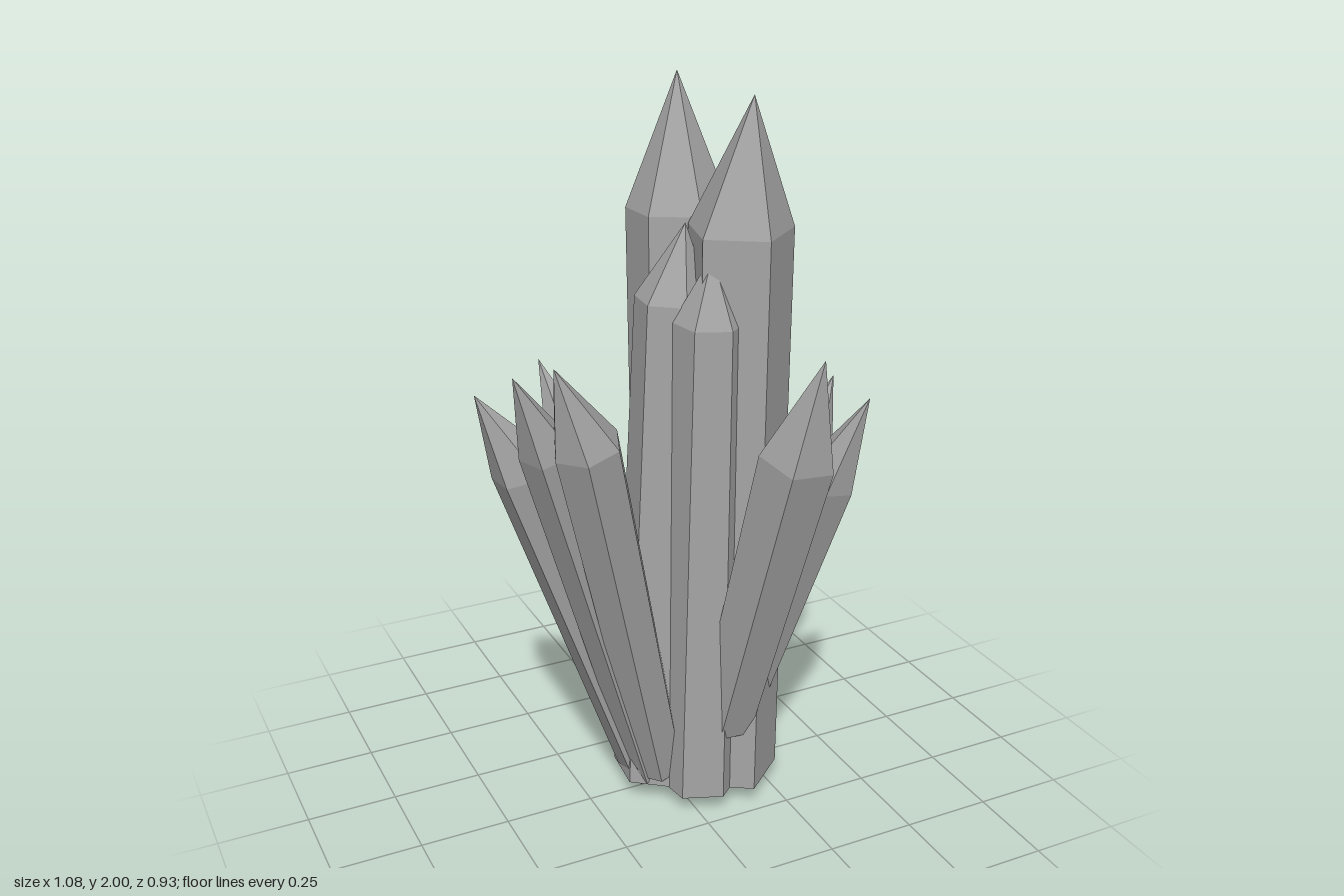
import * as THREE from 'three';

// One crystal: a prism from base to shoulder, closed by a point at each end.
function crystalGeometry({ base, shoulder, tip, r0, r1, sides, phase, root = 0.02 }) {
  const b = new THREE.Vector3(...base);
  const s = new THREE.Vector3(...shoulder);
  const t = new THREE.Vector3(...tip);
  const d = s.clone().sub(b).normalize();
  const u = new THREE.Vector3(1, 0, 0).addScaledVector(d, -d.x).normalize();
  const v = d.clone().cross(u).negate();
  v.copy(d).cross(u);
  const ring = (c, r) => Array.from({ length: sides }, (_, i) => {
    const a = THREE.MathUtils.degToRad(phase) + (i / sides) * Math.PI * 2;
    return c.clone().addScaledVector(u, r * Math.cos(a)).addScaledVector(v, r * Math.sin(a));
  });
  const low = ring(b, r0);
  const high = ring(s, r1);
  const end = b.clone().addScaledVector(d, -root);
  const pos = [];
  const tri = (...p) => p.forEach((q) => pos.push(q.x, q.y, q.z));
  for (let i = 0; i < sides; i++) {
    const j = (i + 1) % sides;
    tri(low[i], low[j], high[j]);
    tri(low[i], high[j], high[i]);
    tri(high[i], high[j], t);
    tri(low[j], low[i], end);
  }
  const g = new THREE.BufferGeometry();
  g.setAttribute('position', new THREE.Float32BufferAttribute(pos, 3));
  g.computeVertexNormals();
  return g;
}

const crystals = {
  // upright core
  frontMainCrystal: { base: [0.145, 0.055, 0.09], shoulder: [0.148, 1.64, 0.1], tip: [0.165, 1.975, 0.13], r0: 0.14, r1: 0.142, sides: 5, phase: -14, root: 0.01 },
  backMainCrystal: { base: [0.09, 0.055, -0.1], shoulder: [0.09, 1.65, -0.137], tip: [0.092, 2, -0.147], r0: 0.135, r1: 0.137, sides: 6, phase: -29, root: 0.01 },
  sideCoreCrystal: { base: [-0.03, 0.06, 0], shoulder: [0, 1.46, 0.02], tip: [0.02, 1.66, 0.05], r0: 0.135, r1: 0.1, sides: 6, phase: 25, root: 0.01 },
  frontCoreCrystal: { base: [0.04, 0.055, 0.11], shoulder: [0.05, 1.42, 0.13], tip: [0.045, 1.6, 0.15], r0: 0.115, r1: 0.095, sides: 6, phase: 40, root: 0.01 },
  // leaning towards -x
  lowSideCrystal: { base: [-0.08, 0.1, 0], shoulder: [-0.41, 1.06, 0.01], tip: [-0.54, 1.28, 0.015], r0: 0.08, r1: 0.093, sides: 6, phase: 35 },
  middleSideCrystal: { base: [-0.08, 0.08, 0.04], shoulder: [-0.405, 1.16, 0.16], tip: [-0.505, 1.38, 0.2], r0: 0.06, r1: 0.075, sides: 5, phase: 20 },
  highSideCrystal: { base: [-0.06, 0.1, 0.06], shoulder: [-0.335, 1.19, 0.235], tip: [-0.43, 1.415, 0.275], r0: 0.07, r1: 0.09, sides: 6, phase: 10 },
  // leaning to the back
  shortBackCrystal: { base: [-0.02, 0.17, -0.1], shoulder: [-0.145, 0.94, -0.32], tip: [-0.206, 1.19, -0.416], r0: 0.06, r1: 0.08, sides: 5, phase: 30 },
  tallBackCrystal: { base: [0.13, 0.2, -0.11], shoulder: [0.285, 1.12, -0.365], tip: [0.35, 1.365, -0.463], r0: 0.085, r1: 0.1, sides: 6, phase: 15 },
  // leaning towards +x and the front
  outerCrystal: { base: [0.18, 0.2, -0.02], shoulder: [0.455, 0.92, -0.05], tip: [0.54, 1.14, -0.06], r0: 0.06, r1: 0.077, sides: 6, phase: 30 },
  cornerCrystal: { base: [0.17, 0.18, 0.07], shoulder: [0.31, 1, 0.29], tip: [0.37, 1.25, 0.387], r0: 0.06, r1: 0.08, sides: 6, phase: 0 },
  frontCrystal: { base: [0.1, 0.25, 0.15], shoulder: [0.17, 1.12, 0.38], tip: [0.19, 1.4, 0.462], r0: 0.08, r1: 0.1, sides: 5, phase: 18 },
};

export function createModel() {
  const group = new THREE.Group();
  group.name = 'crystalCluster';
  const stone = new THREE.MeshStandardMaterial({ color: 0xa6a6a6, flatShading: true });
  stone.name = 'grey crystal';
  for (const [name, spec] of Object.entries(crystals)) {
    const mesh = new THREE.Mesh(crystalGeometry(spec), stone);
    mesh.name = name;
    group.add(mesh);
  }
  // shallow pointed underside
  const root = new THREE.Mesh(new THREE.CylinderGeometry(0.17, 0.09, 0.08, 7), stone);
  root.name = 'root';
  root.position.set(0.04, 0.05, 0);
  group.add(root);
  const nub = new THREE.Mesh(new THREE.ConeGeometry(0.05, 0.06, 5).rotateX(Math.PI), stone);
  nub.name = 'rootNub';
  nub.position.set(-0.09, 0.03, 0);
  group.add(nub);
  return group;
}
